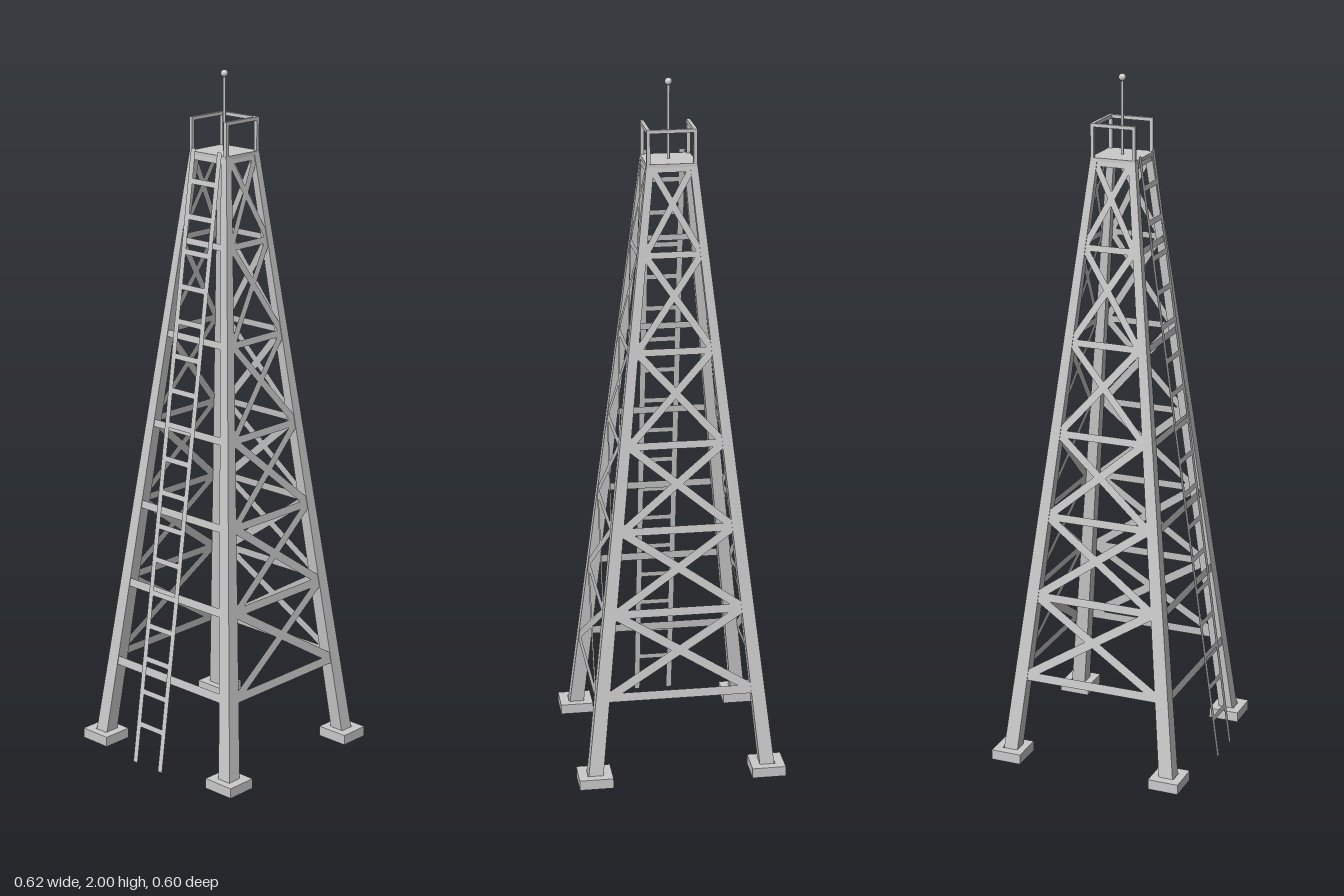
import * as THREE from 'three';

const V = (x, y, z) => new THREE.Vector3(x, y, z);
const CX = 0.0155; // tower axis; the ladder fills out the other side
const TOP = 1.77;

// Outer half-sizes of the tapering tower and the leg width at height y
const at = (y) => {
  const t = y / TOP;
  return {
    hx: THREE.MathUtils.lerp(0.269, 0.067, t),
    hz: THREE.MathUtils.lerp(0.275, 0.071, t),
    leg: THREE.MathUtils.lerp(0.043, 0.021, t),
  };
};

export function createModel() {
  const model = new THREE.Group();
  const mat = new THREE.MeshStandardMaterial({ color: 0xcccccc, side: THREE.DoubleSide, flatShading: true });
  const smooth = new THREE.MeshStandardMaterial({ color: 0xcccccc });

  const group = (name, parent = model) => {
    const g = new THREE.Group();
    g.name = name;
    parent.add(g);
    return g;
  };
  const add = (parent, name, geo, pos = V(0, 0, 0), material = mat) => {
    const m = new THREE.Mesh(geo, material);
    m.name = name;
    m.position.copy(pos);
    parent.add(m);
    return m;
  };
  // Flat strip from a to b lying across the normal n
  const strip = (parent, name, a, b, width, n) => {
    const dir = b.clone().sub(a);
    const geo = new THREE.PlaneGeometry(width, dir.length());
    dir.normalize();
    const side = dir.clone().cross(n).normalize();
    const normal = side.clone().cross(dir);
    geo.applyMatrix4(new THREE.Matrix4().makeBasis(side, dir, normal));
    add(parent, name, geo, a.clone().add(b).multiplyScalar(0.5));
  };

  const tower = group('tower');
  tower.position.x = CX;

  // Tapered, leaning square legs on hollow footings
  for (const sx of [-1, 1]) for (const sz of [-1, 1]) {
    const legGeo = new THREE.CylinderGeometry(1, 1, 1, 4, 1, true).rotateY(Math.PI / 4);
    const p = legGeo.attributes.position;
    for (let i = 0; i < p.count; i++) {
      const y = p.getY(i) > 0 ? TOP : 0.001;
      const { hx, hz, leg } = at(y);
      p.setXYZ(i,
        sx * (hx - leg / 2) + Math.sign(p.getX(i)) * leg / 2, y,
        sz * (hz - leg / 2) + Math.sign(p.getZ(i)) * leg / 2);
    }
    legGeo.computeVertexNormals();
    add(tower, 'leg', legGeo);

    const rect = (shape, w, d) => shape.moveTo(-w, -d).lineTo(w, -d).lineTo(w, d).lineTo(-w, d).closePath();
    const plate = rect(new THREE.Shape(), 0.0455, 0.049);
    plate.holes.push(rect(new THREE.Path(), 0.022, 0.022));
    const footing = new THREE.ExtrudeGeometry(plate, { depth: 0.03, bevelEnabled: false }).rotateX(-Math.PI / 2);
    add(tower, 'footing', footing, V(sx * 0.247, 0, sz * 0.252));
  }

  // Horizontal girts on four sides, crossed braces on all but the ladder side
  const levels = [0.26, 0.505, 0.745, 0.99, 1.255, 1.525, 1.76];
  const sides = [
    { name: 'front', axis: 'z', s: 1 }, { name: 'back', axis: 'z', s: -1 },
    { name: 'left', axis: 'x', s: 1 }, { name: 'right', axis: 'x', s: -1 },
  ];
  for (const { name, axis, s } of sides) {
    const g = group(name + 'Bracing', tower);
    const n = axis === 'z' ? V(0, 0.115, s) : V(s, 0.114, 0);
    const node = (y, e) => {
      const { hx, hz, leg } = at(y);
      return axis === 'z'
        ? V(e * (hx - leg * 0.85), y, s * (hz - 0.002))
        : V(s * (hx - 0.002), y, e * (hz - leg * 0.85));
    };
    levels.forEach((y, i) => {
      const w = 0.026 - i * 0.0015;
      strip(g, 'girt', node(y, -1), node(y, 1), w, n);
      if (i === levels.length - 1 || name === 'right') return;
      for (const e of [-1, 1]) strip(g, 'brace', node(y, e), node(levels[i + 1], -e), w, n);
    });
  }

  // Platform with a railing left open on the ladder side
  const top = group('platform', tower);
  add(top, 'deck', new THREE.BoxGeometry(0.135, 0.01, 0.141), V(0, 1.77, 0));
  const T = 0.01, RX = 0.0615, RZ = 0.065;
  for (const sz of [-1, 1]) {
    for (const sx of [-1, 1])
      add(top, 'railPost', new THREE.BoxGeometry(T, 0.095, T), V(sx * RX, 1.8225, sz * RZ));
    add(top, 'handrail', new THREE.BoxGeometry(2 * RX + T, T, T), V(0, 1.865, sz * RZ));
  }
  add(top, 'handrail', new THREE.BoxGeometry(T, T, 2 * RZ + T), V(RX, 1.865, 0));

  // Mast with a ball tip
  add(top, 'mast', new THREE.CylinderGeometry(0.004, 0.004, 0.22, 10), V(0, 1.88, 0), smooth);
  add(top, 'mastTip', new THREE.SphereGeometry(0.0105, 16, 12), V(0, 1.9895, 0), smooth);

  // Leaning ladder made of flat strips
  const ladder = group('ladder');
  const ladderPoint = (y, z) => V(THREE.MathUtils.mapLinear(y, 0.01, 1.785, -0.308, -0.057), y, z);
  const out = V(-1, 0.1414, 0);
  for (const s of [-1, 1])
    strip(ladder, 'ladderRail', ladderPoint(0.01, s * 0.05), ladderPoint(1.785, s * 0.05), 0.017, out);
  for (let i = 0; i < 17; i++) {
    const y = 0.127 + i * 0.098;
    strip(ladder, 'rung', ladderPoint(y, -0.0425), ladderPoint(y, 0.0425), 0.016, out);
  }

  return model;
}
